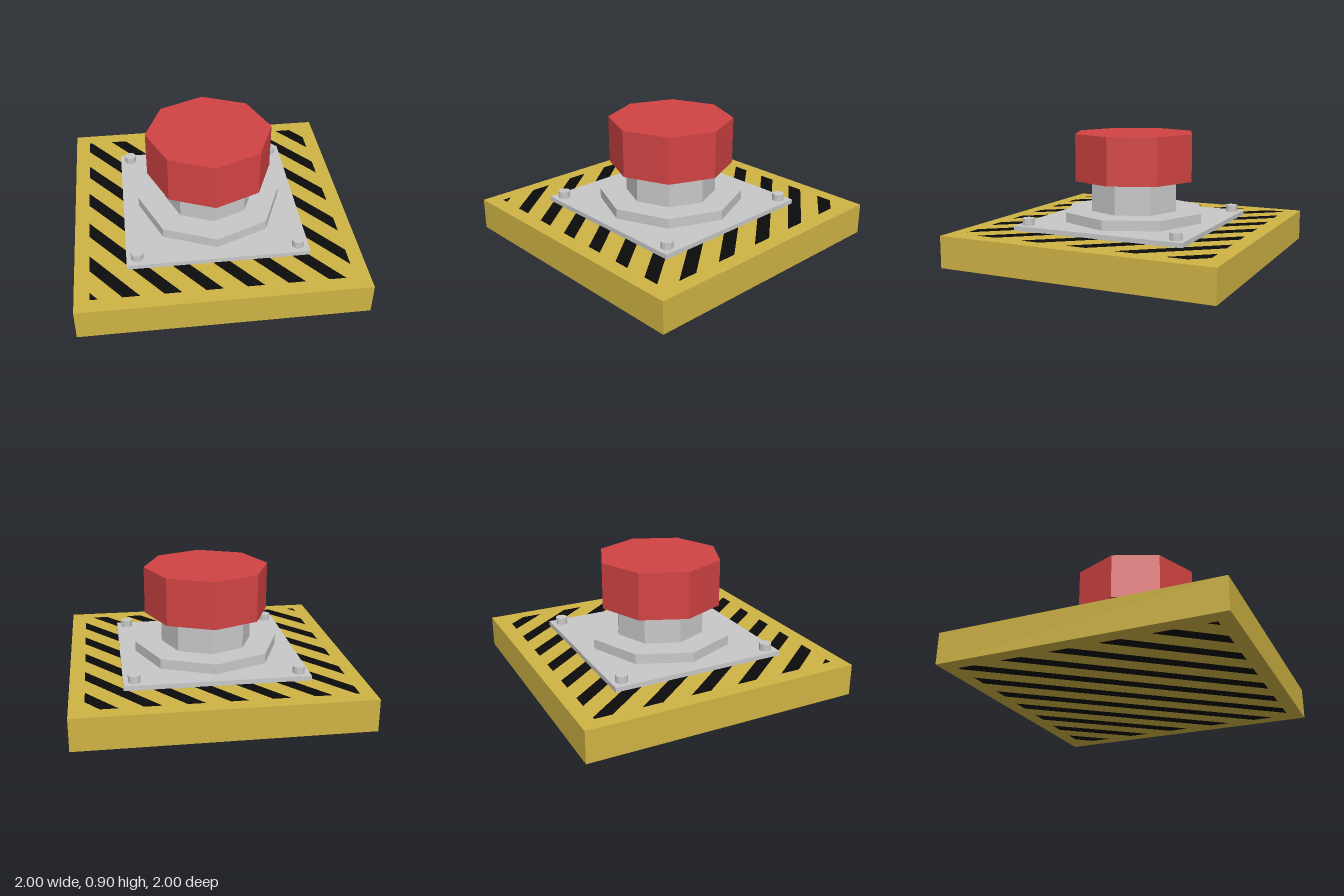
import * as THREE from 'three';

const mat = (name, color) => {
  const m = new THREE.MeshStandardMaterial({ color });
  m.name = name;
  return m;
};

// Keep the part of a convex polygon where f(p) >= 0
function clip(points, f) {
  const out = [];
  points.forEach((a, i) => {
    const b = points[(i + 1) % points.length];
    const fa = f(a), fb = f(b);
    if (fa >= 0) out.push(a);
    if ((fa >= 0) !== (fb >= 0)) out.push(a.clone().lerp(b, fa / (fa - fb)));
  });
  return out;
}

// Diagonal hazard stripes, as polygons in (x, z), clipped to a square
function stripePolygons() {
  const h = 0.895, pitch = 0.279, width = 0.117, slope = 1.254;
  const square = [[-h, -h], [h, -h], [h, h], [-h, h]].map(([x, z]) => new THREE.Vector2(x, z));
  const across = (p) => p.x - p.y / slope;
  const polygons = [];
  for (let k = -6; k <= 5; k++) {
    const start = 0.002 + k * pitch;
    const strip = clip(clip(square, (p) => across(p) - start), (p) => start + width - across(p));
    if (strip.length > 2) polygons.push(strip);
  }
  return polygons;
}

export function createModel() {
  const yellow = mat('yellow', 0xcfb344);
  const black = mat('black', 0x0b0b0b);
  const grey = mat('grey', 0xc8c8c8);
  const red = mat('red', 0xd24343);
  for (const m of [grey, red]) m.flatShading = true;

  const model = new THREE.Group();
  model.name = 'pushButton';
  const add = (name, geometry, material, x = 0, y = 0, z = 0) => {
    const mesh = new THREE.Mesh(geometry, material);
    mesh.name = name;
    mesh.position.set(x, y, z);
    model.add(mesh);
  };
  const box = (name, size, y0, y1, material) =>
    add(name, new THREE.BoxGeometry(size, y1 - y0, size), material, 0, (y0 + y1) / 2);
  const prism = (name, radius, y0, y1, material, sides = 8, x = 0, z = 0) =>
    add(name, new THREE.CylinderGeometry(radius, radius, y1 - y0, sides), material, x, (y0 + y1) / 2, z);

  // Base slab with stripes on its top and underside
  box('base', 2, 0.002, 0.23, yellow);
  const polygons = stripePolygons();
  const topShapes = polygons.map((p) => new THREE.Shape(p.map((v) => new THREE.Vector2(v.x, -v.y))));
  const bottomShapes = polygons.map((p) => new THREE.Shape(p));
  add('topStripes', new THREE.ShapeGeometry(topShapes).rotateX(-Math.PI / 2), black, 0, 0.232);
  add('bottomStripes', new THREE.ShapeGeometry(bottomShapes).rotateX(Math.PI / 2), black);

  // Mounting plate and bolts
  box('mountingPlate', 1.28, 0.23, 0.265, grey);
  for (const x of [-0.565, 0.565])
    for (const z of [-0.565, 0.565]) prism('bolt', 0.043, 0.265, 0.315, grey, 12, x, z);

  // Octagonal collar, stem and button
  prism('collar', 0.525, 0.265, 0.337, grey);
  prism('stem', 0.33, 0.337, 0.56, grey);
  prism('button', 0.45, 0.56, 0.9, red);

  return model;
}
